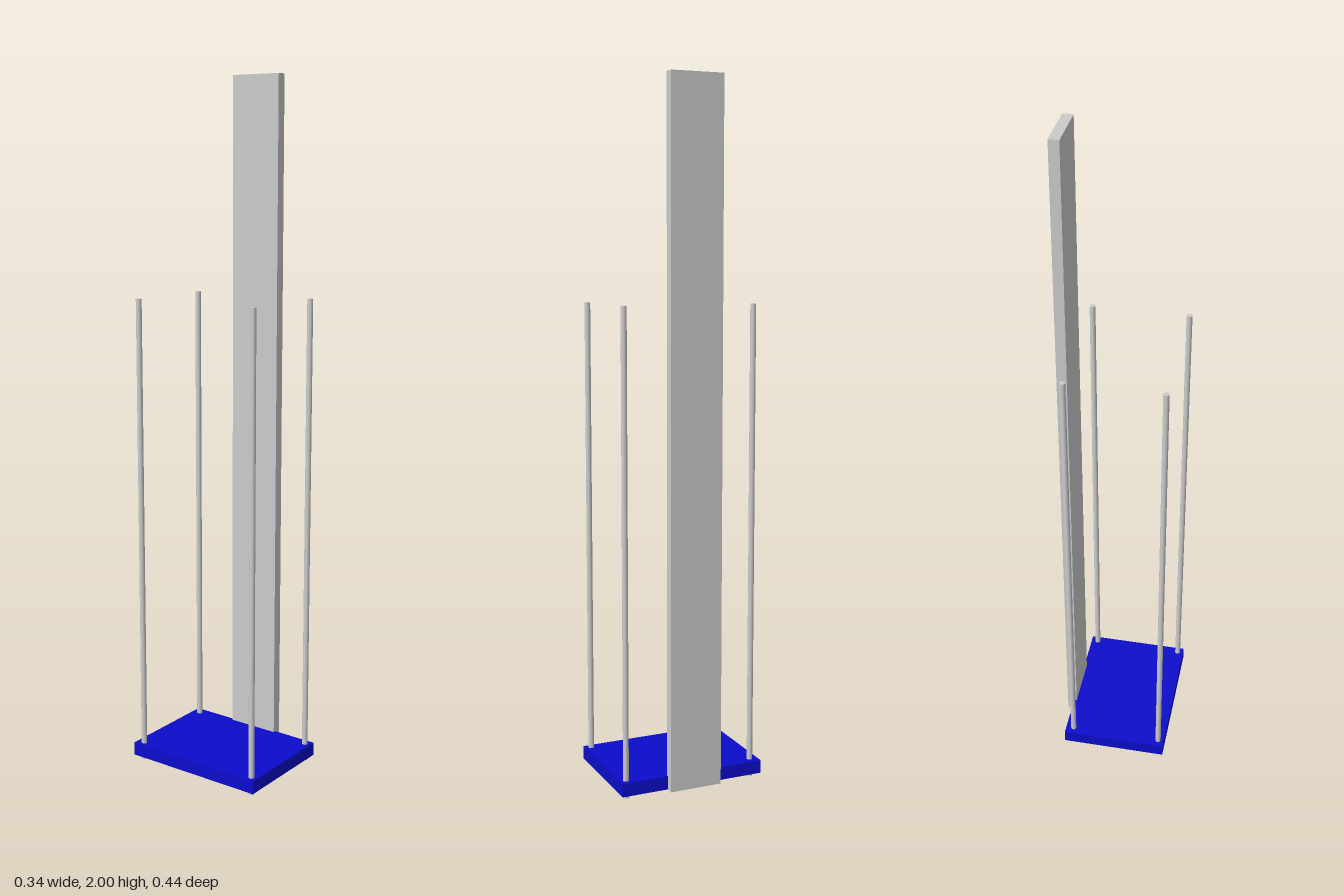
import * as THREE from 'three';

const grey = new THREE.MeshStandardMaterial({ color: 0xcccccc });
const blue = new THREE.MeshStandardMaterial({ color: 0x0c0ccc });

// Box given by its lower and upper corners
function box(name, [x0, y0, z0], [x1, y1, z1], material) {
  const mesh = new THREE.Mesh(new THREE.BoxGeometry(x1 - x0, y1 - y0, z1 - z0), material);
  mesh.position.set((x0 + x1) / 2, (y0 + y1) / 2, (z0 + z1) / 2);
  mesh.name = name;
  return mesh;
}

export function createModel() {
  const model = new THREE.Group();
  model.name = 'platformWithPost';

  // Base plate and the tall flat post let into its edge
  model.add(box('basePlate', [-0.169, 0.011, -0.219], [0.147, 0.05, 0.216], blue));
  model.add(box('post', [0.139, 0.01, -0.079], [0.168, 2, 0.077], grey));

  // Four corner rods, passing just through the plate
  const rodHeight = 1.383;
  const rodGeometry = new THREE.CylinderGeometry(0.0083, 0.0083, rodHeight, 32);
  const corners = {
    backRightRod: [-0.151, -0.195],
    backLeftRod: [0.123, -0.195],
    frontRightRod: [-0.151, 0.198],
    frontLeftRod: [0.126, 0.198],
  };
  for (const [name, [x, z]] of Object.entries(corners)) {
    const rod = new THREE.Mesh(rodGeometry, grey);
    rod.name = name;
    rod.position.set(x, rodHeight / 2, z);
    model.add(rod);
  }
  return model;
}
